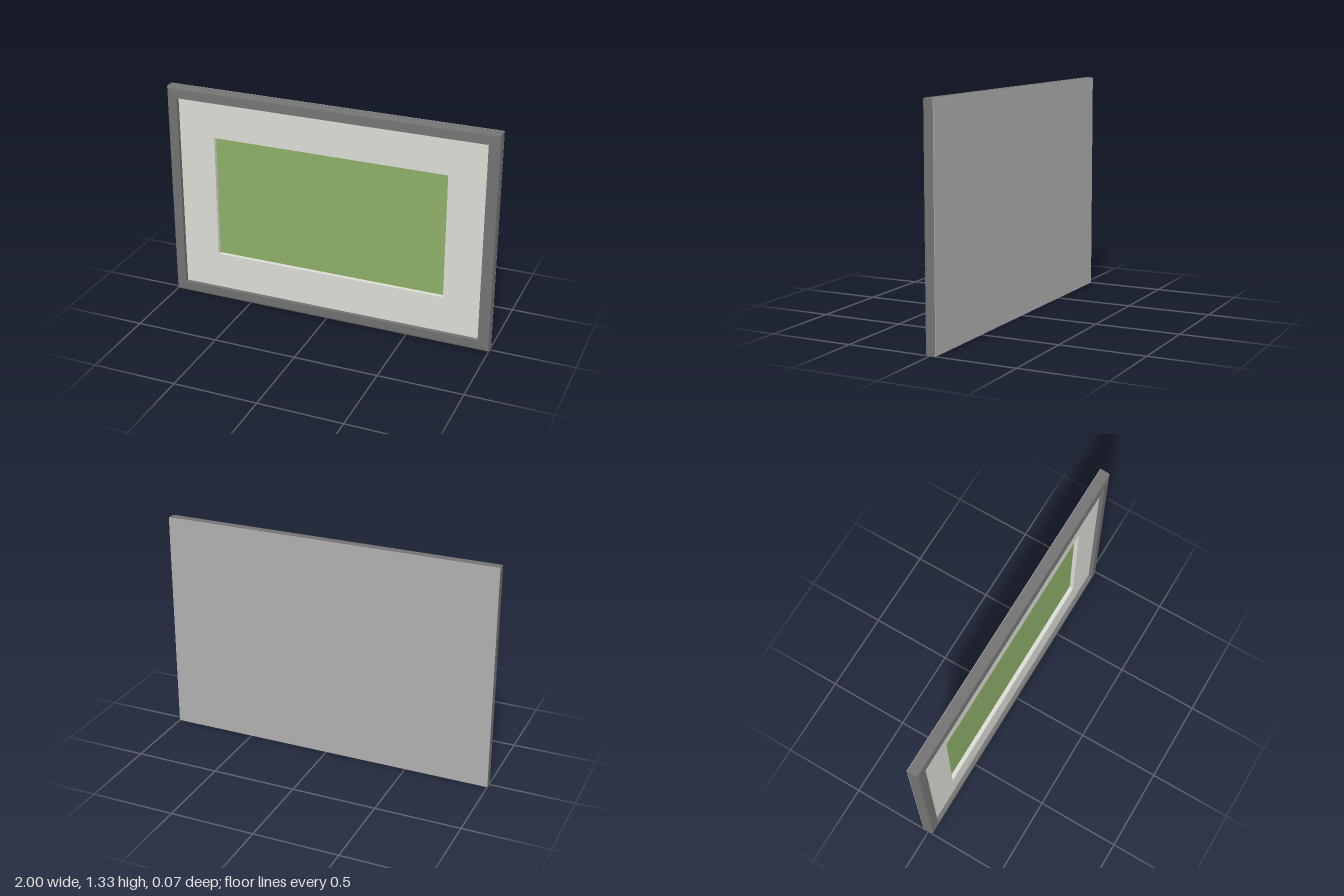
import * as THREE from 'three';

const W = 2, H = 1.333, CY = H / 2;

// Mitred rectangular sweep: each profile point is [inset from outer edge, z]
function mitredFrame(profile) {
  const pos = [];
  const ring = ([d, z]) => {
    const x = W / 2 - d, y = H / 2 - d;
    return [[-x, -y, z], [x, -y, z], [x, y, z], [-x, y, z]];
  };
  for (let i = 0; i < profile.length - 1; i++) {
    const a = ring(profile[i]), b = ring(profile[i + 1]);
    for (let k = 0; k < 4; k++) {
      const n = (k + 1) % 4;
      pos.push(...a[k], ...a[n], ...b[n], ...a[k], ...b[n], ...b[k]);
    }
  }
  const g = new THREE.BufferGeometry();
  g.setAttribute('position', new THREE.Float32BufferAttribute(pos, 3));
  g.computeVertexNormals();
  return g;
}

function rectPoints(w, h) {
  return [[-w, -h], [w, -h], [w, h], [-w, h]].map(([x, y]) => new THREE.Vector2(x / 2, y / 2));
}

export function createModel() {
  const model = new THREE.Group();
  model.name = 'framedPicture';
  const add = (name, geometry, color, z = 0) => {
    const mesh = new THREE.Mesh(geometry, new THREE.MeshStandardMaterial({ color }));
    mesh.name = name;
    mesh.position.set(0, CY, z);
    model.add(mesh);
  };

  // Moulding: straight sides, softened outer edge, face rising slightly to the inner lip
  add('frame', mitredFrame([
    [0, -0.031], [0, 0.016], [0.003, 0.026], [0.012, 0.03],
    [0.065, 0.034], [0.065, -0.031],
  ]), 0x737373);

  // Back panel closing the frame
  add('backPanel', new THREE.BoxGeometry(W, H, 0.003), 0xb0b0b0, -0.0325);

  // Mat board with a window
  const board = new THREE.Shape(rectPoints(W - 0.13, H - 0.13));
  board.holes.push(new THREE.Path(rectPoints(1.425, 0.757).reverse()));
  add('matBoard', new THREE.ExtrudeGeometry(board, { depth: 0.025, bevelEnabled: false }), 0xdcdcd6, -0.015);

  // Picture sheet behind the window
  add('picture', new THREE.BoxGeometry(1.5, 0.83, 0.012), 0x8dae69, -0.0212);

  return model;
}
